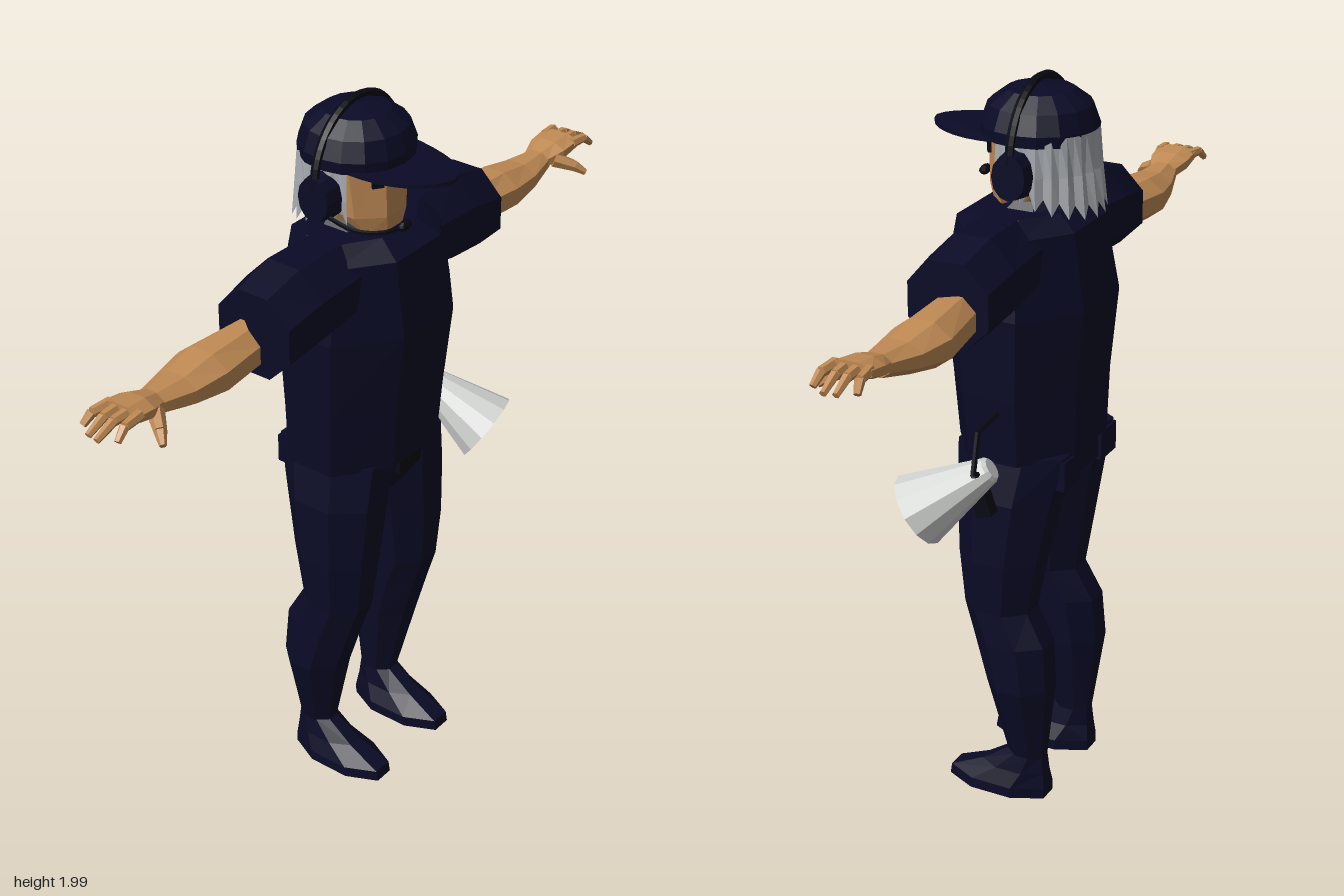
import * as THREE from 'three';

const mat = (name, color, extra = {}) => {
  const m = new THREE.MeshStandardMaterial({ color, flatShading: true, ...extra });
  m.name = name;
  return m;
};
const V = (x, y, z) => new THREE.Vector3(x, y, z);

// Octagonal loft. Axis 'y' rows: [y, x0, x1, z0, z1]; axis 'x' rows: [x, y0, y1, z0, z1]
function loft(axis, rows, { startCap = true, sides = 8 } = {}) {
  const k = 1 / Math.cos(Math.PI / sides);
  const pos = [], index = [];
  const put = (t, a, b) => (axis === 'y' ? pos.push(a, t, b) : pos.push(t, a, b));
  for (const [t, a0, a1, b0, b1] of rows) {
    for (let i = 0; i < sides; i++) {
      const w = ((i + 0.5) / sides) * Math.PI * 2;
      put(t, (a0 + a1) / 2 + (k * Math.cos(w) * (a1 - a0)) / 2, (b0 + b1) / 2 + (k * Math.sin(w) * (b1 - b0)) / 2);
    }
  }
  const tri = (a, b, c) => (axis === 'y' ? index.push(a, b, c) : index.push(a, c, b));
  const last = (rows.length - 1) * sides;
  for (let r = 0; r < last; r += sides) {
    for (let i = 0; i < sides; i++) {
      const j = (i + 1) % sides;
      tri(r + i, r + sides + i, r + j);
      tri(r + j, r + sides + i, r + sides + j);
    }
  }
  for (let i = 1; i < sides - 1; i++) {
    if (startCap) tri(0, i, i + 1);
    tri(last, last + i + 1, last + i);
  }
  const g = new THREE.BufferGeometry();
  g.setAttribute('position', new THREE.Float32BufferAttribute(pos, 3));
  g.setIndex(index);
  g.computeVertexNormals();
  return g;
}

// Tapered rod between two points
function rod(p, q, r1, r2, sides = 6, open = false) {
  const d = q.clone().sub(p);
  const g = new THREE.CylinderGeometry(r2, r1, d.length(), sides, 1, open);
  g.applyQuaternion(new THREE.Quaternion().setFromUnitVectors(V(0, 1, 0), d.normalize()));
  return g.translate((p.x + q.x) / 2, (p.y + q.y) / 2, (p.z + q.z) / 2);
}

// Mirror across x and restore the winding
function mirrored(geo) {
  const g = geo.index ? geo.toNonIndexed() : geo.clone();
  g.scale(-1, 1, 1);
  const p = g.attributes.position, a = V(0, 0, 0), b = V(0, 0, 0);
  for (let i = 0; i < p.count; i += 3) {
    a.fromBufferAttribute(p, i + 1);
    b.fromBufferAttribute(p, i + 2);
    p.setXYZ(i + 1, b.x, b.y, b.z);
    p.setXYZ(i + 2, a.x, a.y, a.z);
  }
  g.computeVertexNormals();
  return g;
}

export function createModel() {
  const model = new THREE.Group();
  model.name = 'crewMember';
  const navy = mat('navyCloth', 0x0a0a26);
  const black = mat('blackPlastic', 0x080913);
  const skin = mat('skin', 0xc08a54);
  const grey = mat('greyHair', 0xa6aaaf, { side: THREE.DoubleSide });
  const horn = mat('hornPlastic', 0xcfd1cf, { side: THREE.DoubleSide });

  const add = (name, geo, material) => {
    const m = new THREE.Mesh(geo, material);
    m.name = name;
    model.add(m);
    return m;
  };
  const pair = (name, geo, material) => {
    add(name + 'Left', geo, material);
    add(name + 'Right', mirrored(geo), material);
  };

  // Shirt, hips and belt
  add('shirt', loft('y', [
    [1.02, -0.23, 0.23, -0.21, 0.125], [1.2, -0.24, 0.24, -0.215, 0.14], [1.42, -0.25, 0.25, -0.235, 0.165],
    [1.62, -0.22, 0.22, -0.2, 0.13], [1.66, -0.17, 0.17, -0.15, 0.07],
  ]), navy);
  add('collar', loft('y', [[1.64, -0.12, 0.12, -0.15, 0.06], [1.68, -0.08, 0.08, -0.13, 0.01]]), navy);
  add('hips', loft('y', [
    [0.89, -0.09, 0.09, -0.13, 0.06], [0.95, -0.2, 0.2, -0.2, 0.09], [1.04, -0.21, 0.21, -0.2, 0.11],
  ]), navy);
  add('buckle', new THREE.BoxGeometry(0.09, 0.05, 0.02).translate(0, 0.99, 0.1), black);
  pair('beltPouch', new THREE.BoxGeometry(0.09, 0.08, 0.04).translate(0.11, 0.98, -0.19), navy);

  // Sleeves
  pair('sleeve', loft('x', [
    [0.15, 1.45, 1.66, -0.15, 0.08], [0.32, 1.42, 1.66, -0.155, 0.08], [0.44, 1.41, 1.63, -0.145, 0.075],
  ]), navy);

  // Forearms, open at the elbow with the rear edge reaching into the sleeve
  const arm = loft('x', [
    [0.47, 1.435, 1.55, -0.11, 0.01], [0.6, 1.43, 1.545, -0.135, 0.02],
    [0.7, 1.45, 1.53, -0.115, 0.01], [0.8, 1.475, 1.53, -0.085, -0.01],
  ], { startCap: false });
  const ap = arm.attributes.position;
  for (let i = 0; i < 8; i++) if (ap.getZ(i) < -0.05) ap.setX(i, 0.43);
  pair('forearm', arm, skin);

  // Hands
  pair('palm', loft('x', [
    [0.79, 1.48, 1.53, -0.085, -0.01], [0.84, 1.49, 1.545, -0.1, 0.01], [0.9, 1.51, 1.55, -0.1, 0.015],
  ]), skin);
  [[0.965, -0.1, -0.085], [0.99, -0.06, -0.058], [0.995, -0.03, -0.026], [0.97, 0.012, 0.003]].forEach(([x, z, z0], i) => {
    const knuckle = V(0.94, 1.53, (z + z0) / 2);
    pair('fingerBase' + i, rod(V(0.885, 1.532, z0), knuckle, 0.015, 0.013), skin);
    pair('fingerTip' + i, rod(knuckle, V(x, 1.505, z), 0.013, 0.009), skin);
  });
  pair('thumbBase', rod(V(0.82, 1.505, -0.01), V(0.855, 1.485, 0.035), 0.022, 0.016), skin);
  pair('thumbTip', rod(V(0.855, 1.485, 0.035), V(0.875, 1.465, 0.06), 0.016, 0.009), skin);

  // Trouser legs and boots
  pair('leg', loft('y', [
    [0.12, 0.1, 0.18, -0.15, -0.05], [0.35, 0.075, 0.235, -0.175, 0], [0.48, 0.07, 0.23, -0.165, 0.04],
    [0.57, 0.065, 0.225, -0.115, 0.07], [0.72, 0.045, 0.235, -0.14, 0.085], [0.9, 0.012, 0.23, -0.175, 0.095],
    [1.03, 0.015, 0.205, -0.205, 0.1],
  ]), navy);
  pair('boot', loft('y', [
    [0, 0.07, 0.205, -0.16, 0.13], [0.03, 0.07, 0.205, -0.16, 0.125], [0.075, 0.09, 0.19, -0.155, 0.03],
    [0.13, 0.1, 0.18, -0.15, -0.05],
  ]), navy);

  // Head
  add('neck', loft('y', [[1.6, -0.07, 0.07, -0.13, 0.0], [1.75, -0.07, 0.07, -0.13, 0.0]]), skin);
  add('face', loft('y', [
    [1.645, -0.065, 0.065, -0.07, 0.055], [1.7, -0.095, 0.095, -0.14, 0.062], [1.86, -0.11, 0.11, -0.17, 0.062],
  ]), skin);
  pair('eye', new THREE.BoxGeometry(0.03, 0.035, 0.008).rotateY(0.6).translate(0.063, 1.805, 0.052), black);

  // Ragged hair wrapping the back and sides of the head
  const hp = [], hi = [], n = 30;
  for (let i = 0; i <= n; i++) {
    const w = ((i / n) * 2 - 1) * 2.1, jag = i % 2, back = Math.max(0, Math.cos(w));
    [[1.86, 0.14], [1.76, 0.148 - jag * 0.01], [1.69 - back * 0.045 + jag * 0.035, 0.138 + back * 0.025 - jag * 0.012]]
      .forEach(([y, r]) => hp.push(Math.sin(w) * r, y, -0.07 - Math.cos(w) * r));
    if (i < n) for (let k = 0; k < 2; k++) {
      const a = i * 3 + k;
      hi.push(a, a + 3, a + 1, a + 3, a + 4, a + 1);
    }
  }
  const hair = new THREE.BufferGeometry();
  hair.setAttribute('position', new THREE.Float32BufferAttribute(hp, 3));
  hair.setIndex(hi);
  hair.computeVertexNormals();
  add('hair', hair, grey);

  // Cap with curved peak
  const dome = [[0, 1.835], [0.148, 1.835], [0.15, 1.865], [0.132, 1.915], [0.085, 1.95], [0, 1.965]];
  add('cap', new THREE.LatheGeometry(dome.map(([r, y]) => new THREE.Vector2(r, y)), 16).translate(0, 0, -0.06), navy);
  const peakShape = new THREE.Shape();
  peakShape.moveTo(-0.125, 0);
  peakShape.bezierCurveTo(-0.12, 0.13, -0.07, 0.225, 0, 0.235);
  peakShape.bezierCurveTo(0.07, 0.225, 0.12, 0.13, 0.125, 0);
  const peak = new THREE.ExtrudeGeometry(peakShape, { depth: 0.01, bevelEnabled: false, curveSegments: 8 });
  peak.rotateX(Math.PI / 2).translate(0, 1.862, 0);
  const pp = peak.attributes.position;
  for (let i = 0; i < pp.count; i++) pp.setY(i, pp.getY(i) - pp.getX(i) ** 2 * 1.2 - pp.getZ(i) * 0.09);
  peak.computeVertexNormals();
  add('capPeak', peak, navy);

  // Headset
  add('headband', new THREE.TorusGeometry(0.17, 0.01, 6, 24, Math.PI).scale(1, 1.06, 1.2).translate(0, 1.798, -0.06), black);
  pair('earCup', new THREE.CylinderGeometry(0.046, 0.053, 0.06, 12).rotateZ(-Math.PI / 2).scale(1, 1.28, 1).translate(0.148, 1.765, -0.06), navy);
  const boom = new THREE.CatmullRomCurve3([V(-0.15, 1.72, -0.05), V(-0.15, 1.705, 0.05), V(-0.11, 1.702, 0.105), V(-0.05, 1.7, 0.12)]);
  add('microphoneBoom', new THREE.TubeGeometry(boom, 12, 0.006, 5), black);
  add('microphone', new THREE.SphereGeometry(0.013, 8, 6).scale(2, 1, 1).translate(-0.045, 1.7, 0.12), black);

  // Megaphone hanging at the hip
  const tail = V(0.3, 1.035, -0.07), mouth = V(0.355, 0.908, 0.108);
  add('megaphoneHorn', rod(tail, mouth, 0.035, 0.1, 12, true), horn);
  const rear = tail.clone().lerp(mouth, -0.04);
  add('megaphoneRear', rod(rear, tail, 0.028, 0.036, 12), horn);
  add('megaphoneHandle', new THREE.BoxGeometry(0.035, 0.12, 0.045).rotateX(0.35).translate(0.285, 0.955, -0.035), black);
  add('megaphoneTrigger', new THREE.BoxGeometry(0.03, 0.025, 0.06).translate(0.3, 0.945, 0.045), black);
  const strap = [V(0.22, 1.165, -0.06), V(0.34, 1.155, -0.06), V(0.367, 1.045, -0.06), V(0.32, 1.03, -0.055)];
  for (let i = 0; i < 3; i++) add('megaphoneStrap' + i, rod(strap[i], strap[i + 1], 0.008, 0.008), black);

  return model;
}
